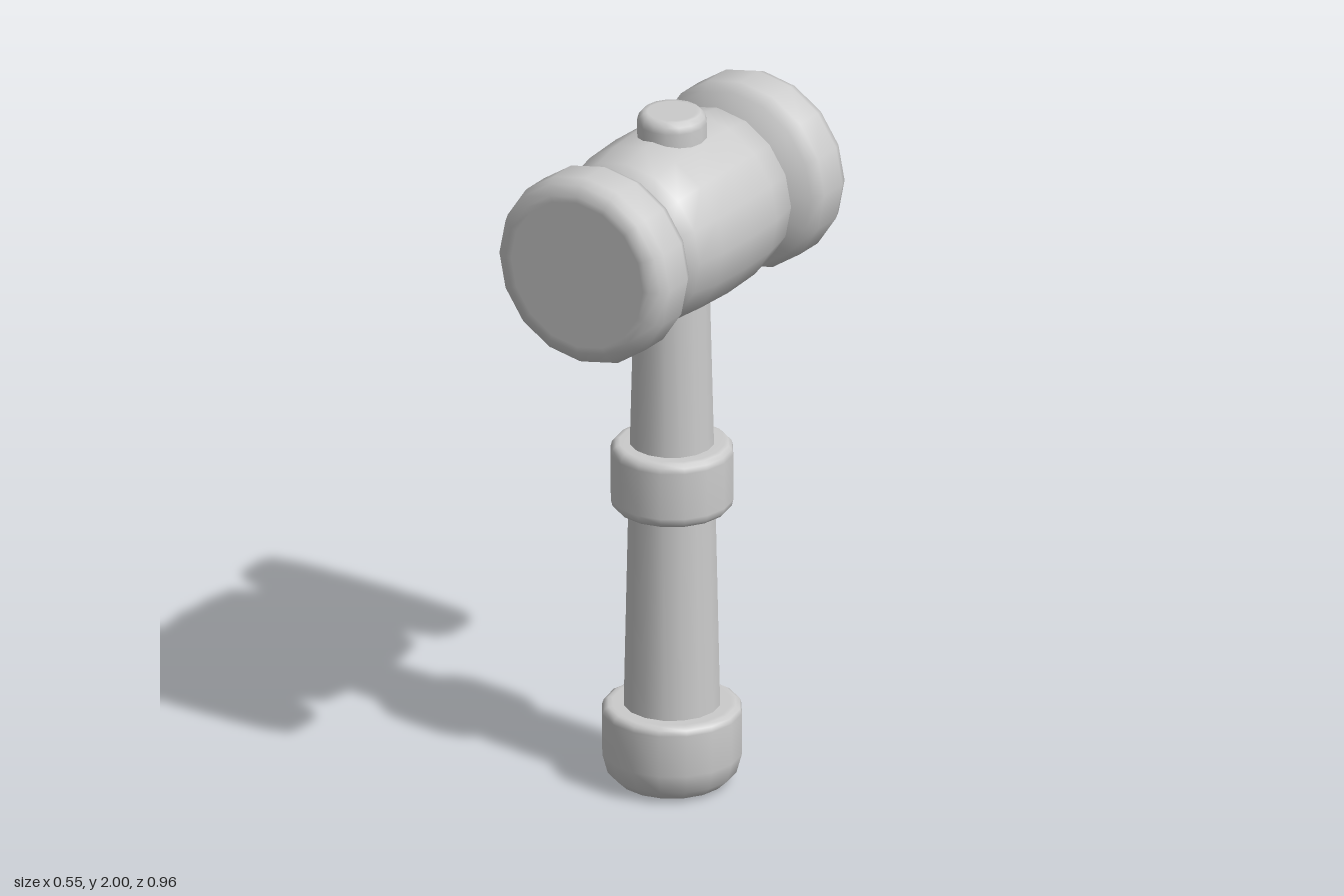
import * as THREE from 'three';

const material = new THREE.MeshStandardMaterial({ color: 0xcccccc });
const SIDES = 16;
const HEAD_Y = 1.685;

// Turned part: profile of [radius, height] pairs from bottom to top
function turned(name, profile) {
  const points = profile.map(([r, y]) => new THREE.Vector2(r, y));
  const mesh = new THREE.Mesh(new THREE.LatheGeometry(points, SIDES), material);
  mesh.name = name;
  return mesh;
}

export function createModel() {
  const model = new THREE.Group();
  model.name = 'mallet';

  // Tapered handle running up into the head
  model.add(turned('handle', [[0.135, 0.2], [0.12, 0.9], [0.105, 1.5]]));

  // Rounded grip end
  model.add(turned('pommel', [
    [0, 0], [0.13, 0], [0.15, 0.006], [0.18, 0.035], [0.195, 0.09],
    [0.195, 0.21], [0.19, 0.225], [0.178, 0.232], [0.165, 0.232], [0.12, 0.232],
  ]));

  // Ring around the middle of the handle
  model.add(turned('collar', [
    [0.11, 0.82], [0.145, 0.82], [0.157, 0.822], [0.167, 0.833], [0.171, 0.85],
    [0.171, 0.985], [0.167, 1.0], [0.157, 1.01], [0.145, 1.012], [0.11, 1.012],
  ]));

  // Handle tip showing above the head
  model.add(turned('topKnob', [
    [0.097, 1.88], [0.097, 1.97], [0.092, 1.988], [0.08, 2], [0.068, 2], [0, 2],
  ]));

  // Head lies along z
  const head = new THREE.Group();
  head.name = 'head';
  head.position.y = HEAD_Y;
  head.rotation.x = Math.PI / 2;
  model.add(head);

  // Bulged middle of the head
  head.add(turned('barrel', [
    [0.183, -0.274], [0.24, -0.23], [0.256, -0.135], [0.261, 0],
    [0.256, 0.135], [0.24, 0.23], [0.183, 0.274],
  ]));

  // Two matching striking ends
  for (const [name, turn] of [['frontStrikingEnd', 0], ['backStrikingEnd', Math.PI]]) {
    const end = turned(name, [
      [0.183, 0.274], [0.255, 0.308], [0.275, 0.345], [0.275, 0.435],
      [0.263, 0.464], [0.233, 0.478], [0.215, 0.478], [0, 0.478],
    ]);
    end.rotation.x = turn;
    head.add(end);
  }

  return model;
}
